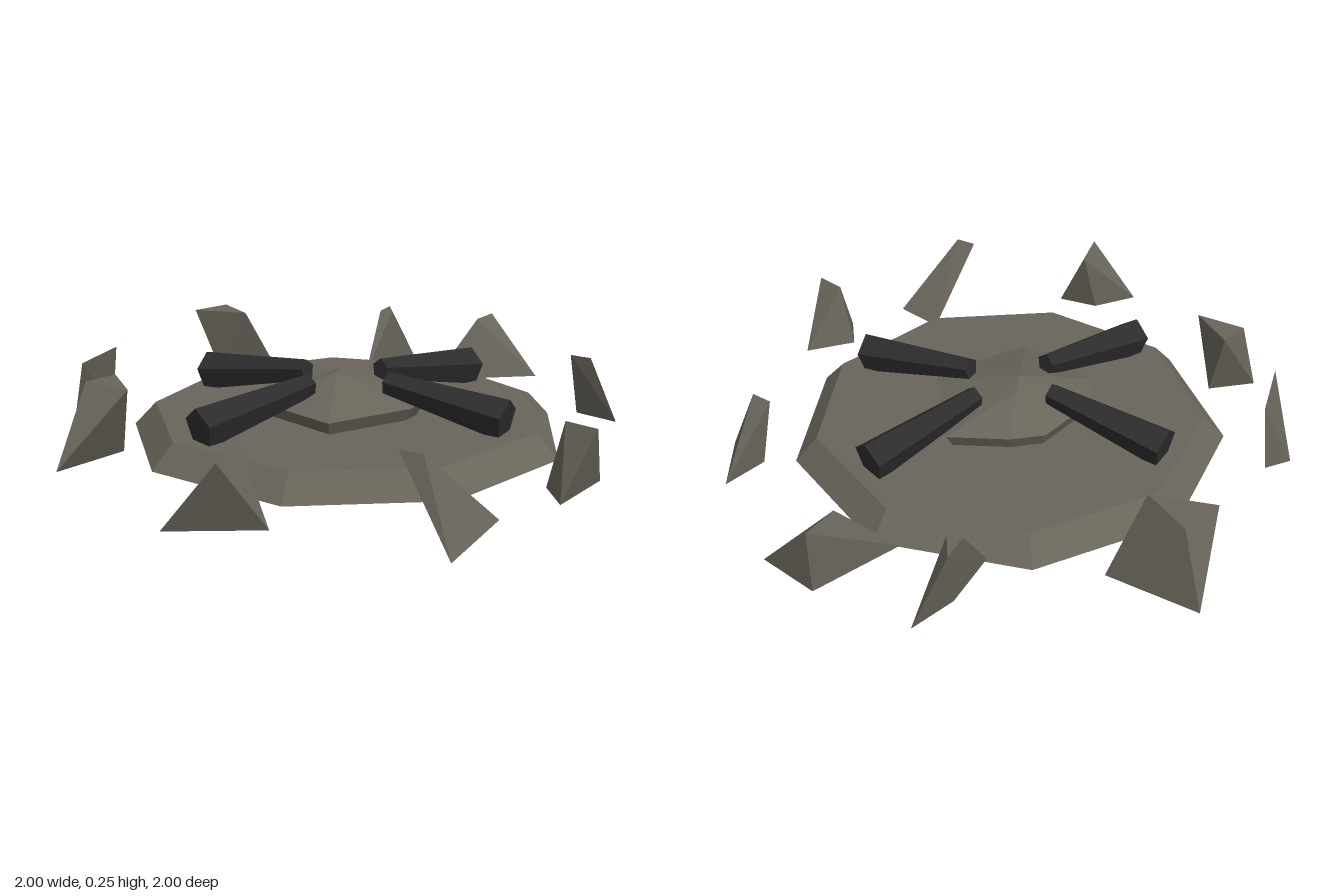
import * as THREE from 'three';
import { ConvexGeometry } from 'three/addons/geometries/ConvexGeometry.js';

const V = (x, y, z) => new THREE.Vector3(x, y, z);

// Corners on a tilted circle, starting at the back
function ringPoint(i, sides, radius, turn) {
  const a = (i / sides) * Math.PI * 2 + turn;
  return [Math.sin(a) * radius, -Math.cos(a) * radius];
}

export function createModel() {
  const group = new THREE.Group();
  const stone = new THREE.MeshStandardMaterial({ color: 0x69655b, flatShading: true, side: THREE.DoubleSide });
  stone.name = 'stone';
  const char = new THREE.MeshStandardMaterial({ color: 0x2c2c2c, flatShading: true });
  char.name = 'charredWood';

  const add = (name, geometry, material) => {
    const mesh = new THREE.Mesh(geometry, material);
    mesh.name = name;
    group.add(mesh);
    return mesh;
  };

  // Nine-sided hearth: sloping rim and flat top, hollow underneath
  const top = 0.08, sides = 9, pos = [];
  for (let i = 0; i < sides; i++) {
    const [ax, az] = ringPoint(i, sides, 0.735, 0.03);
    const [bx, bz] = ringPoint(i + 1, sides, 0.735, 0.03);
    const [cx, cz] = ringPoint(i + 1, sides, 0.66, 0.03);
    const [dx, dz] = ringPoint(i, sides, 0.66, 0.03);
    const a = [ax, 0, az], b = [bx, 0, bz], c = [cx, top, cz], d = [dx, top, dz];
    pos.push(...a, ...d, ...b, ...b, ...d, ...c, ...d, 0, top, 0, ...c);
  }
  const hearthGeometry = new THREE.BufferGeometry();
  hearthGeometry.setAttribute('position', new THREE.Float32BufferAttribute(pos, 3));
  hearthGeometry.computeVertexNormals();
  const hearth = add('hearthBase', hearthGeometry, stone);
  hearth.position.z = 0.02;

  // Ash mound: overhanging slab with a low peak
  const outline = [[-0.15, -0.21], [0.085, -0.22], [0.18, -0.15], [0.31, 0.01],
    [0.1, 0.27], [0.02, 0.285], [-0.28, 0.2], [-0.27, -0.11]];
  const mound = [V(-0.03, 0.205, 0), V(0.04, 0.195, -0.05)];
  outline.forEach(([x, z]) => mound.push(V(x, 0.125, z), V(x * 0.85, 0.045, z * 0.85)));
  add('ashMound', new ConvexGeometry(mound), stone);

  // Tapered logs leaning inward: outer and inner end centres on the ground plan
  const logs = [
    [-0.595, -0.05, -0.16, 0], [0.57, 0.095, 0.14, 0.04],
    [-0.125, -0.545, -0.04, -0.13], [0.13, 0.585, 0.03, 0.17],
  ];
  for (const [ox, oz, ix, iz] of logs) {
    const outer = V(ox, 0.125, oz), inner = V(ix, 0.188, iz);
    const length = outer.distanceTo(inner);
    const geometry = new THREE.CylinderGeometry(0.038, 0.07, length, 5);
    geometry.rotateY(Math.PI); // turn a flat side upward
    geometry.rotateX(Math.PI / 2);
    const log = add('log', geometry, char);
    log.position.copy(outer).add(inner).multiplyScalar(0.5);
    log.lookAt(inner);
  }

  // Angular stone: hull of a ground triangle and a level top edge, as x, z pairs
  const addRock = (height, ground, crest) => {
    const corners = [];
    for (let i = 0; i < ground.length; i += 2) corners.push(V(ground[i], 0, ground[i + 1]));
    for (let i = 0; i < crest.length; i += 2) corners.push(V(crest[i], height, crest[i + 1]));
    add('ringStone', new ConvexGeometry(corners), stone);
  };
  addRock(0.22, [-1, 0.26, -0.79, 0.47, -0.84, 0.33], [-0.935, 0.425, -0.79, 0.355]);
  addRock(0.24, [-0.925, -0.34, -0.8, -0.45, -0.66, -0.35], [-0.715, -0.24, -0.75, -0.41, -0.635, -0.41]);
  addRock(0.24, [-0.62, 0.965, -0.3, 0.69, -0.3, 0.88], [-0.565, 0.735, -0.55, 0.81]);
  addRock(0.22, [-0.09, 0.94, 0.16, 0.915, 0, 0.83], [0, 0.885, 0, 0.995]);
  addRock(0.225, [0.545, -0.395, 0.9, -0.44, 0.74, -0.45], [0.705, -0.46, 0.795, -0.49, 0.73, -0.42]);
  addRock(0.22, [0.68, -0.16, 1, 0.095, 0.99, -0.12], [0.87, -0.1, 0.99, -0.12]);
  addRock(0.22, [0.7, 0.64, 0.86, 0.475, 0.7, 0.48], [0.65, 0.475, 0.66, 0.55]);
  addRock(0.25, [0.3, -1, 0.36, -0.7, 0.2, -0.86], [0.23, -0.74, 0.28, -0.91, 0.13, -0.92]);
  addRock(0.23, [-0.6, -0.71, -0.49, -0.8, -0.4, -0.76], [-0.605, -0.635, -0.39, -0.735]);

  return group;
}
